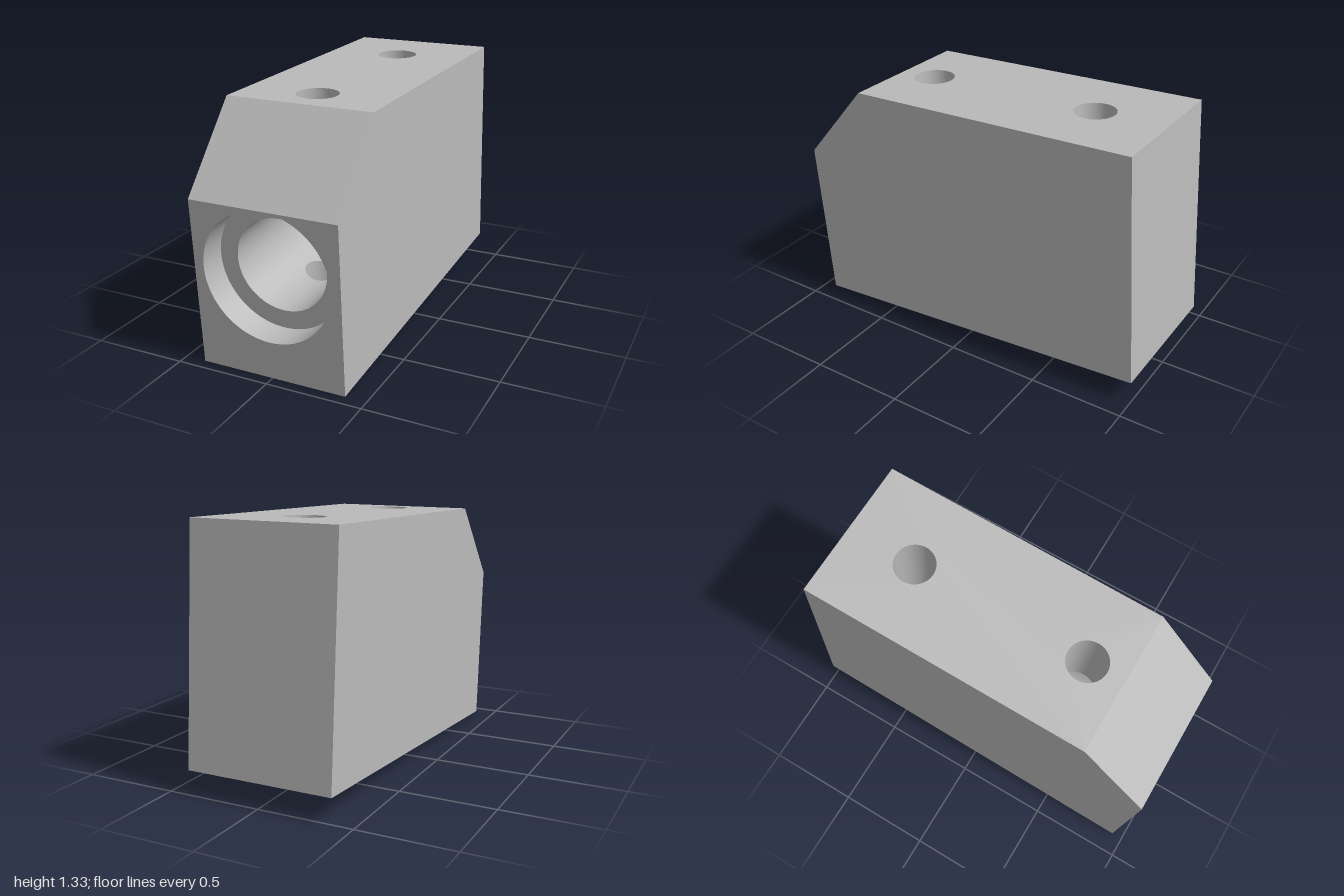
import * as THREE from 'three';

// Block dimensions, measured in the block's own (untilted) frame:
// x across, y up from the front bottom edge, z forward from the front face
const TILT = 0.0692, HALF = 0.39;
const FRONT_H = 0.877, CHAMFER_Z = -0.388, CHAMFER_H = 1.268;
const BACK_Z = -1.943, BACK_H = 1.203, BACK_BOTTOM = -0.008;
const BORE_Y = 0.537, BORE_R = 0.243, RECESS_R = 0.339, RECESS_Z = -0.15, BORE_END = -1.39;
const BOLT_R = 0.107, BOLT_Z = [-0.589, -1.558], SEG = 64;

const topY = z => CHAMFER_H + (BACK_H - CHAMFER_H) * (z - CHAMFER_Z) / (BACK_Z - CHAMFER_Z);
const bottomY = z => BACK_BOTTOM * z / BACK_Z;
const chamferY = z => FRONT_H + (CHAMFER_H - FRONT_H) * z / CHAMFER_Z;

// Wall between two edges sampled at the same parameters
function wall(params, edgeA, edgeB) {
  const pos = [], index = [];
  params.forEach((t, i) => {
    pos.push(...edgeA(t), ...edgeB(t));
    if (i) {
      const a = 2 * (i - 1);
      index.push(a, a + 1, a + 2, a + 2, a + 1, a + 3);
    }
  });
  const g = new THREE.BufferGeometry();
  g.setAttribute('position', new THREE.Float32BufferAttribute(pos, 3));
  g.setIndex(index);
  g.computeVertexNormals();
  return g;
}

function polygon(points) {
  return new THREE.Shape(points.map(([x, y]) => new THREE.Vector2(x, y)));
}

function circlePath(x, y, r, n) {
  const pts = [];
  for (let i = 0; i < n; i++) {
    const t = 2 * Math.PI * i / n;
    pts.push(new THREE.Vector2(x + r * Math.cos(t), y + r * Math.sin(t)));
  }
  return new THREE.Path(pts);
}

// Sloping panel spanning the width; dir = 1 faces up, -1 faces down
function panel(z0, z1, height, dir, holes) {
  const shape = polygon([[-HALF, -dir * z0], [HALF, -dir * z0], [HALF, -dir * z1], [-HALF, -dir * z1]]);
  for (const z of holes) shape.holes.push(circlePath(0, -dir * z, BOLT_R, SEG));
  const g = new THREE.ShapeGeometry(shape);
  const p = g.attributes.position;
  for (let i = 0; i < p.count; i++) {
    const z = -dir * p.getY(i);
    p.setXYZ(i, p.getX(i), height(z), z);
  }
  g.computeVertexNormals();
  return g;
}

export function createModel() {
  const model = new THREE.Group();
  model.name = 'boredBlock';
  const block = new THREE.Group();
  block.name = 'tiltedBlock';
  block.rotation.x = TILT;
  block.position.z = 0.94;
  model.add(block);

  const grey = new THREE.MeshStandardMaterial({ color: 0xbababa, side: THREE.DoubleSide });
  grey.name = 'plainGrey';
  const add = (name, geometry) => {
    const mesh = new THREE.Mesh(geometry, grey);
    mesh.name = name;
    block.add(mesh);
    return mesh;
  };

  // Side walls: profile drawn with -z running to the right
  const profile = [[0, 0], [-BACK_Z, BACK_BOTTOM], [-BACK_Z, BACK_H], [-CHAMFER_Z, CHAMFER_H], [0, FRONT_H]];
  add('leftSide', new THREE.ShapeGeometry(polygon(profile)).rotateY(Math.PI / 2).translate(HALF, 0, 0));
  add('rightSide', new THREE.ShapeGeometry(polygon(profile.map(([x, y]) => [-x, y])))
    .rotateY(-Math.PI / 2).translate(-HALF, 0, 0));

  // Front face with the round recess opening
  const front = polygon([[-HALF, 0], [HALF, 0], [HALF, FRONT_H], [-HALF, FRONT_H]]);
  front.holes.push(circlePath(0, BORE_Y, RECESS_R, 96));
  add('frontFace', new THREE.ShapeGeometry(front));

  // Remaining outer faces
  add('frontChamfer', panel(0, CHAMFER_Z, chamferY, 1, []));
  add('topFace', panel(CHAMFER_Z, BACK_Z, topY, 1, BOLT_Z));
  add('bottomFace', panel(0, BACK_Z, bottomY, -1, BOLT_Z));
  add('backFace', new THREE.PlaneGeometry(2 * HALF, BACK_H - BACK_BOTTOM).rotateY(Math.PI)
    .translate(0, (BACK_H + BACK_BOTTOM) / 2, BACK_Z));

  // Recess wall and its annular floor
  const turn = Array.from({ length: 97 }, (_, i) => 2 * Math.PI * i / 96);
  const rim = (r, z) => t => [r * Math.sin(t), BORE_Y + r * Math.cos(t), z(t)];
  add('recessWall', wall(turn, rim(RECESS_R, () => 0), rim(RECESS_R, () => RECESS_Z)));
  add('recessFloor', new THREE.RingGeometry(BORE_R, RECESS_R, 96).translate(0, BORE_Y, RECESS_Z));

  // Bore angles: dense where the front bolt hole crosses above and below
  const half = SEG / 2, edge = Math.asin(BOLT_R / BORE_R), angles = [];
  for (let k = 0; k < 2; k++) {
    for (let i = 0; i <= half; i++) {
      angles.push(k * Math.PI - Math.asin(BOLT_R * Math.cos(Math.PI * i / half) / BORE_R));
    }
    for (let i = 1; i < 32; i++) angles.push(k * Math.PI + edge + (Math.PI - 2 * edge) * i / 32);
  }
  angles.push(2 * Math.PI - edge);
  const gap = t => Math.sqrt(Math.max(0, BOLT_R ** 2 - (BORE_R * Math.sin(t)) ** 2));
  add('boreWallFront', wall(angles, rim(BORE_R, () => RECESS_Z), rim(BORE_R, t => BOLT_Z[0] + gap(t))));
  add('boreWallBack', wall(angles, rim(BORE_R, t => BOLT_Z[0] - gap(t)), rim(BORE_R, () => BORE_END)));
  add('boreEnd', new THREE.CircleGeometry(BORE_R, 96).translate(0, BORE_Y, BORE_END));

  // Bolt holes: the front one is interrupted by the bore, the rear one runs through
  const boltTurn = Array.from({ length: SEG + 1 }, (_, i) => 2 * Math.PI * i / SEG);
  const ring = (zc, y) => t => {
    const x = BOLT_R * Math.cos(t), z = zc + BOLT_R * Math.sin(t);
    return [x, y(x, z), z];
  };
  const top = (x, z) => topY(z), bottom = (x, z) => bottomY(z);
  const boreAt = s => x => BORE_Y + s * Math.sqrt(BORE_R ** 2 - x * x);
  add('frontBoltHoleUpper', wall(boltTurn, ring(BOLT_Z[0], top), ring(BOLT_Z[0], boreAt(1))));
  add('frontBoltHoleLower', wall(boltTurn, ring(BOLT_Z[0], boreAt(-1)), ring(BOLT_Z[0], bottom)));
  add('rearBoltHole', wall(boltTurn, ring(BOLT_Z[1], top), ring(BOLT_Z[1], bottom)));

  return model;
}
